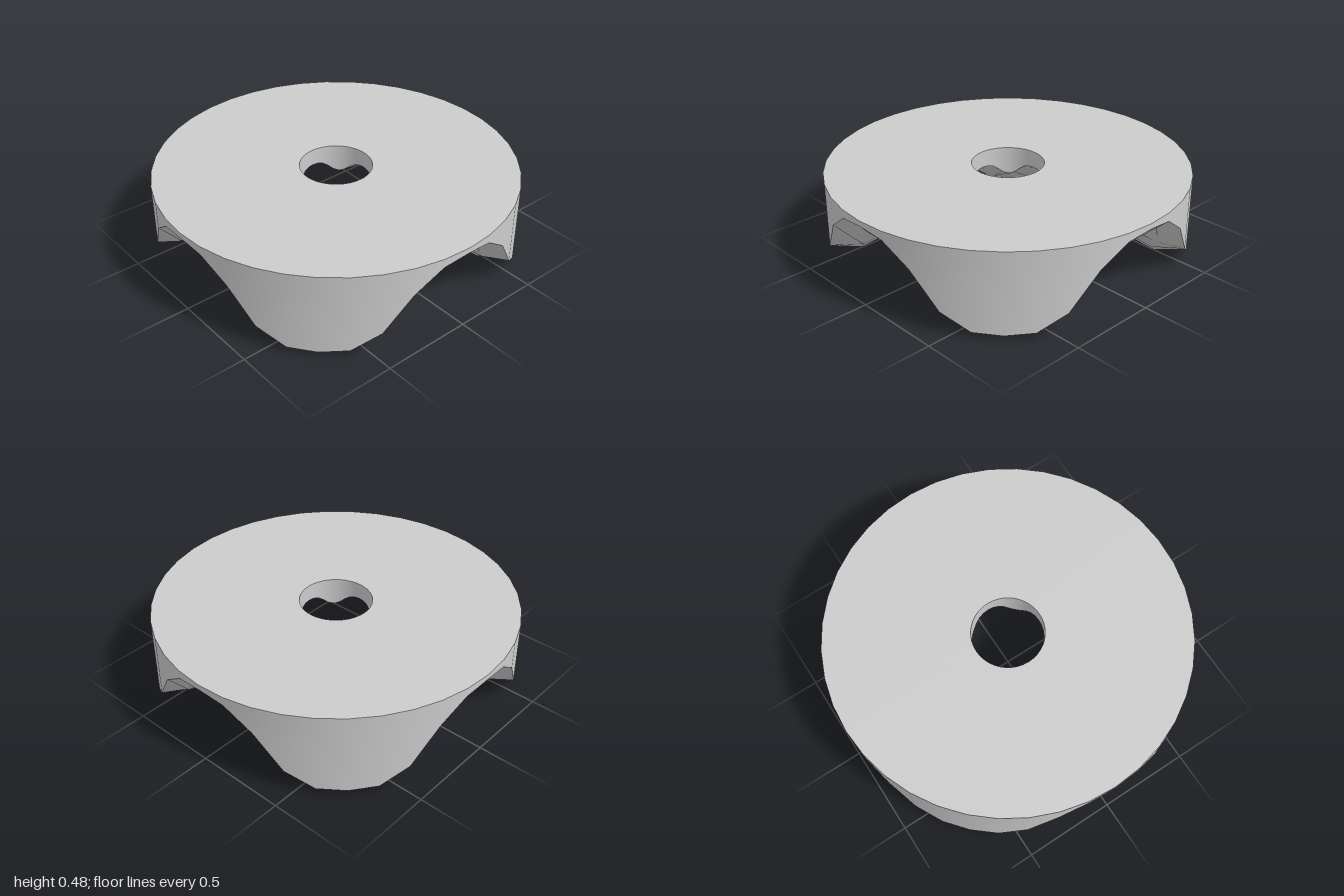
import * as THREE from 'three';
import { toCreasedNormals } from 'three/addons/utils/BufferGeometryUtils.js';

const SEGMENTS = 40;
const TOP = 0.48;
const HOLE = 0.2;

// Underside heights and chamfer radius, from the middle of a valley (0 deg)
// to the middle of a lobe (45 deg) in steps of 9 degrees
const rimY = [0.45, 0.43, 0.32, 0.12, 0.03, 0.02];
const chamferR = [0.95, 0.93, 0.89, 0.82, 0.82, 0.82];
const chamferY = [0.395, 0.38, 0.21, 0.1, 0.012, 0];
const holeY = [0.385, 0.383, 0.375, 0.355, 0.33, 0.32];

// Closed radial section [radius, height] at one angular step
function section(step) {
  const s = step % 10;
  const k = s <= 5 ? s : 10 - s;
  return [
    [HOLE, TOP],
    [1, TOP],
    [1, rimY[k]],
    [chamferR[k], chamferY[k]],
    [HOLE, holeY[k]],
  ];
}

// Sweep the changing section around the axis
function wavyDiscGeometry() {
  const positions = [];
  const index = [];
  const n = 5;
  for (let j = 0; j < SEGMENTS; j++) {
    const a = (j / SEGMENTS) * Math.PI * 2;
    for (const [r, y] of section(j)) {
      positions.push(Math.sin(a) * r, y, Math.cos(a) * r);
    }
    const next = (j + 1) % SEGMENTS;
    for (let i = 0; i < n; i++) {
      const i2 = (i + 1) % n;
      const p = j * n + i, q = j * n + i2;
      const s = next * n + i, t = next * n + i2;
      index.push(p, q, s, q, t, s);
    }
  }
  const geometry = new THREE.BufferGeometry();
  geometry.setAttribute('position', new THREE.Float32BufferAttribute(positions, 3));
  geometry.setIndex(index);
  return toCreasedNormals(geometry, THREE.MathUtils.degToRad(32));
}

export function createModel() {
  const group = new THREE.Group();
  group.name = 'fourLobedKnob';

  // Flat-topped disc with four lobes below and a central hole
  const material = new THREE.MeshStandardMaterial({ color: 0xcccccc });
  const disc = new THREE.Mesh(wavyDiscGeometry(), material);
  disc.name = 'lobedDisc';
  group.add(disc);

  return group;
}
